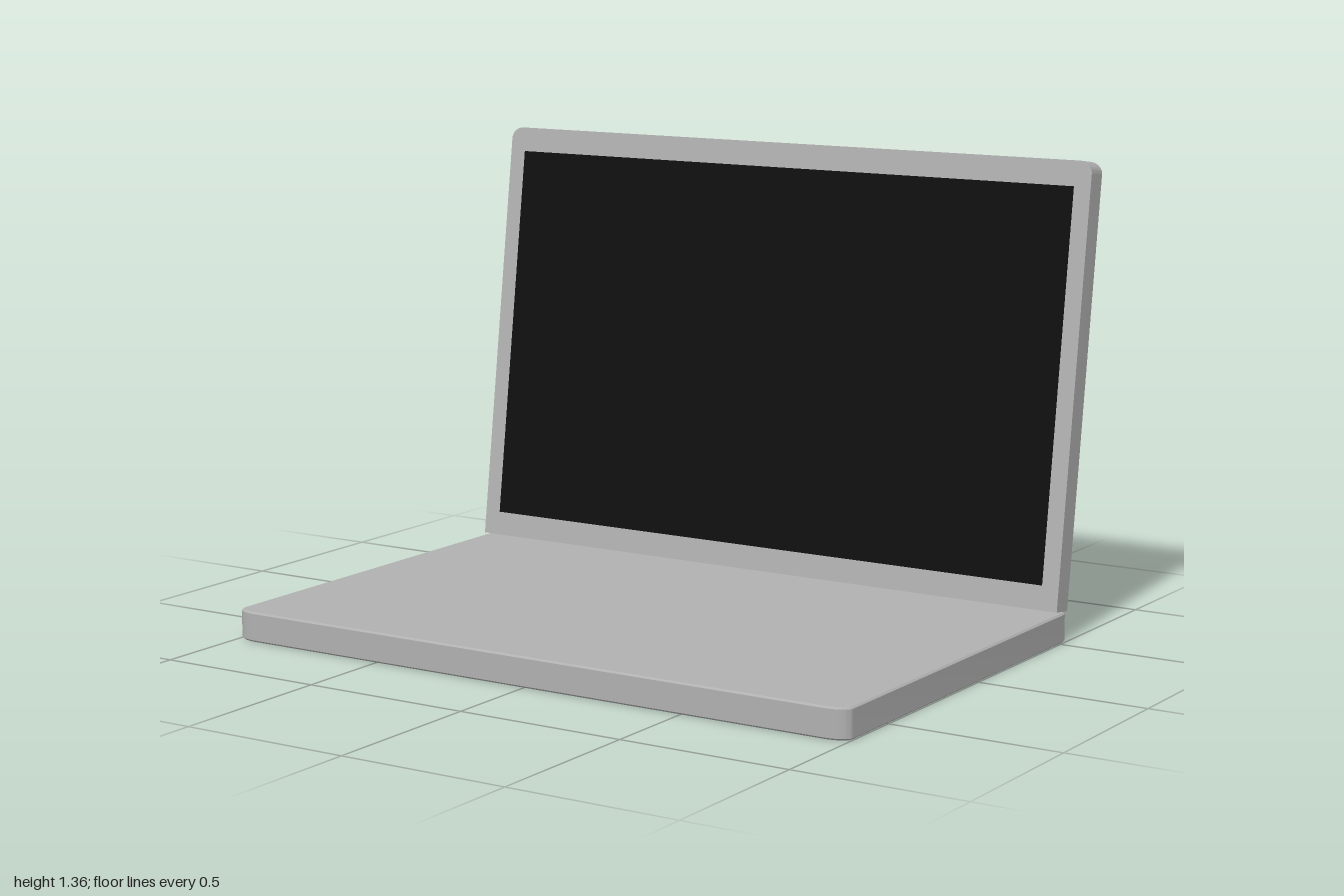
import * as THREE from 'three';
import { toCreasedNormals } from 'three/addons/utils/BufferGeometryUtils.js';

// Rectangle outline with elliptical corners; the bottom pair can stay square.
function panelShape(x0, y0, x1, y1, rx, ry, roundBottom) {
  const s = new THREE.Shape();
  const q = Math.PI / 2;
  if (roundBottom) {
    s.absellipse(x0 + rx, y0 + ry, rx, ry, Math.PI, 3 * q, false, 0);
    s.absellipse(x1 - rx, y0 + ry, rx, ry, 3 * q, 4 * q, false, 0);
  } else {
    s.moveTo(x0, y0);
    s.lineTo(x1, y0);
  }
  s.absellipse(x1 - rx, y1 - ry, rx, ry, 0, q, false, 0);
  s.absellipse(x0 + rx, y1 - ry, rx, ry, q, 2 * q, false, 0);
  s.closePath();
  return s;
}

export function createModel() {
  const model = new THREE.Group();
  model.name = 'laptop';

  const shell = new THREE.MeshStandardMaterial({ color: 0xb0b0b1 });
  shell.name = 'grey shell';
  const glass = new THREE.MeshStandardMaterial({ color: 0x0f0f0f });
  glass.name = 'black screen';

  // Base slab with a fine bevelled edge
  const bevel = 0.005;
  const height = 0.087;
  const baseGeo = new THREE.ExtrudeGeometry(
    panelShape(-1, -0.718, 1, 0.555, 0.07, 0.035, true),
    {
      depth: height - 2 * bevel, curveSegments: 8, bevelEnabled: true,
      bevelThickness: bevel, bevelSize: bevel, bevelOffset: -bevel, bevelSegments: 1,
    });
  baseGeo.translate(0, 0, bevel);
  baseGeo.rotateX(-Math.PI / 2);
  const base = new THREE.Mesh(toCreasedNormals(baseGeo, 0.5), shell);
  base.name = 'base';
  model.add(base);

  // Tilted lid, hinged along its lower front edge
  const lid = new THREE.Group();
  lid.name = 'lid';
  lid.position.set(0, 0.095, -0.482);
  lid.rotation.x = -0.134;
  model.add(lid);

  const thickness = 0.067;
  const lidGeo = new THREE.ExtrudeGeometry(
    panelShape(-0.995, 0, 0.995, 1.274, 0.04, 0.035, false),
    { depth: thickness, curveSegments: 8, bevelEnabled: false });
  lidGeo.translate(0, 0, -thickness);
  const lidShell = new THREE.Mesh(toCreasedNormals(lidGeo, 0.5), shell);
  lidShell.name = 'lidShell';
  lid.add(lidShell);

  // Screen plate, barely proud of the bezel
  const screen = new THREE.Mesh(new THREE.BoxGeometry(1.886, 1.13, 0.004), glass);
  screen.name = 'screen';
  screen.position.set(0, 0.636, 0);
  lid.add(screen);

  return model;
}
